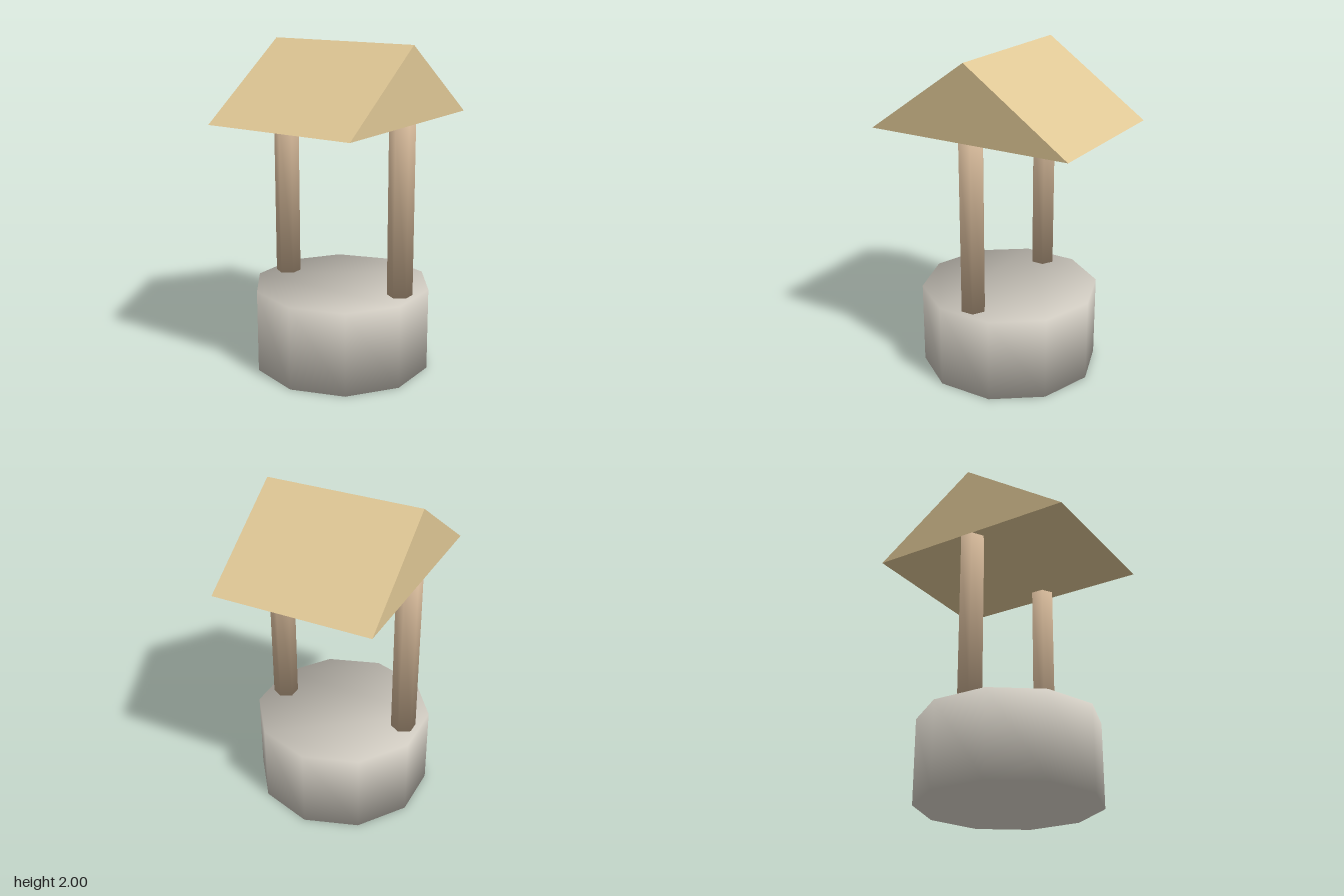
import * as THREE from 'three';
import { mergeVertices } from 'three/addons/utils/BufferGeometryUtils.js';

const stone = new THREE.MeshStandardMaterial({ color: 0xcfcac0 });
const wood = new THREE.MeshStandardMaterial({ color: 0xcbb092 });
const thatch = new THREE.MeshStandardMaterial({ color: 0xdfc795 });

// Solid upright prism with a corner towards +z and normals shared by caps and sides
function softPrism(radius, sides, y0, y1) {
  const corners = [];
  for (let i = 0; i < sides; i++) {
    const a = (i / sides) * Math.PI * 2;
    corners.push(new THREE.Vector2(radius * Math.sin(a), radius * Math.cos(a)));
  }
  let g = new THREE.ExtrudeGeometry(new THREE.Shape(corners), { depth: y1 - y0, bevelEnabled: false });
  g.rotateX(-Math.PI / 2).translate(0, y0, 0);
  g.deleteAttribute('uv');
  g.deleteAttribute('normal');
  g.clearGroups();
  g = mergeVertices(g);
  g.computeVertexNormals();
  // each corner normal leans 45 degrees outwards from its cap
  const p = g.attributes.position, n = new THREE.Vector3();
  for (let i = 0; i < p.count; i++) {
    n.set(p.getX(i), p.getY(i) > (y0 + y1) / 2 ? radius : -radius, p.getZ(i)).normalize();
    g.attributes.normal.setXYZ(i, n.x, n.y, n.z);
  }
  return g;
}

export function createModel() {
  const well = new THREE.Group();
  well.name = 'well';
  const add = (name, geometry, material) => {
    const mesh = new THREE.Mesh(geometry, material);
    mesh.name = name;
    well.add(mesh);
    return mesh;
  };

  // Ten-sided stone base
  add('stoneBase', softPrism(0.548, 10, 0, 0.515), stone);

  // Pair of six-sided posts
  for (const side of [-1, 1]) {
    add(side > 0 ? 'leftPost' : 'rightPost', softPrism(0.077, 6, 0.515, 1.55), wood).position.x = side * 0.418;
  }

  // Gabled roof, ridge running along x
  const gable = new THREE.Shape([
    new THREE.Vector2(-0.643, 1.55),
    new THREE.Vector2(0.643, 1.55),
    new THREE.Vector2(0, 2),
  ]);
  const roof = new THREE.ExtrudeGeometry(gable, { depth: 0.966, bevelEnabled: false });
  roof.translate(0, 0, -0.483).rotateY(Math.PI / 2);
  add('roof', roof, thatch);

  return well;
}
